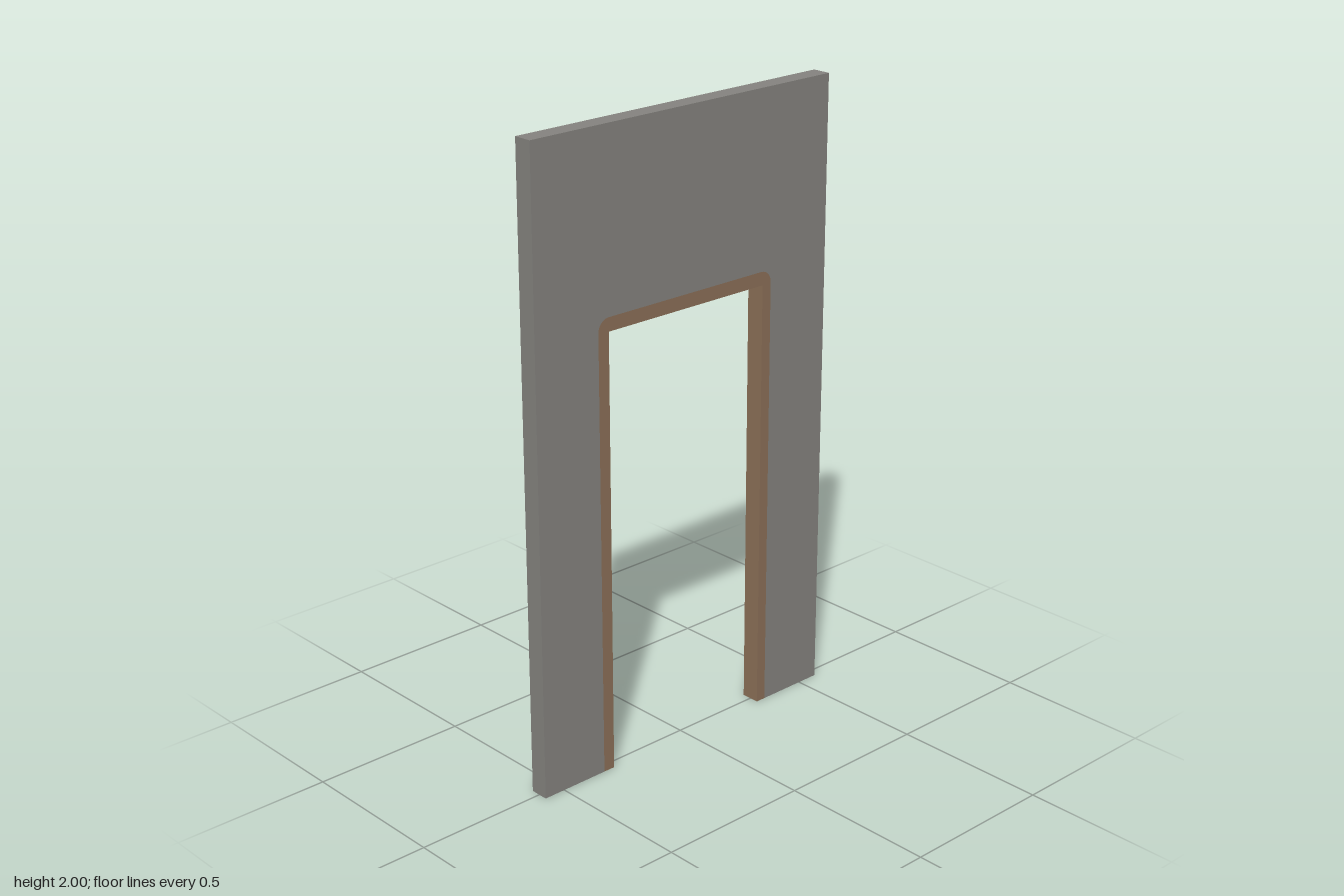
import * as THREE from 'three';

const THICKNESS = 0.06;
const HALF_WIDTH = 0.572, HEIGHT = 2;
const DOOR = { back: -0.307, front: 0.302, top: 1.4 };
const TRIM = { back: -0.341, front: 0.341, top: 1.443, radius: 0.04 };

// Continues a shape along the rounded outer edge of the trim, from front foot to back foot.
function traceTrimEdge(shape) {
  const { back, front, top, radius: r } = TRIM;
  shape.lineTo(front, 0);
  shape.lineTo(front, top - r);
  shape.absarc(front - r, top - r, r, 0, Math.PI / 2, false);
  shape.lineTo(back + r, top);
  shape.absarc(back + r, top - r, r, Math.PI / 2, Math.PI, false);
  shape.lineTo(back, 0);
}

// Extrudes a profile drawn in (z, y) through the wall thickness along x.
function slab(name, shape, material) {
  const geometry = new THREE.ExtrudeGeometry(shape, {
    depth: THICKNESS, bevelEnabled: false, curveSegments: 6,
  });
  geometry.translate(0, 0, -THICKNESS / 2);
  geometry.rotateY(-Math.PI / 2);
  const mesh = new THREE.Mesh(geometry, material);
  mesh.name = name;
  return mesh;
}

export function createModel() {
  const group = new THREE.Group();
  group.name = 'doorwayWall';

  const stone = new THREE.MeshStandardMaterial({ color: 0x85837f });
  stone.name = 'grey plaster';
  const wood = new THREE.MeshStandardMaterial({ color: 0x8c7058 });
  wood.name = 'brown trim';

  // Wall panel around the doorway
  const wall = new THREE.Shape();
  wall.moveTo(HALF_WIDTH, 0);
  traceTrimEdge(wall);
  wall.lineTo(-HALF_WIDTH, 0);
  wall.lineTo(-HALF_WIDTH, HEIGHT);
  wall.lineTo(HALF_WIDTH, HEIGHT);
  group.add(slab('wall', wall, stone));

  // Flush door surround lining the opening
  const trim = new THREE.Shape();
  trim.moveTo(DOOR.front, 0);
  traceTrimEdge(trim);
  trim.lineTo(DOOR.back, 0);
  trim.lineTo(DOOR.back, DOOR.top);
  trim.lineTo(DOOR.front, DOOR.top);
  group.add(slab('doorTrim', trim, wood));

  return group;
}
